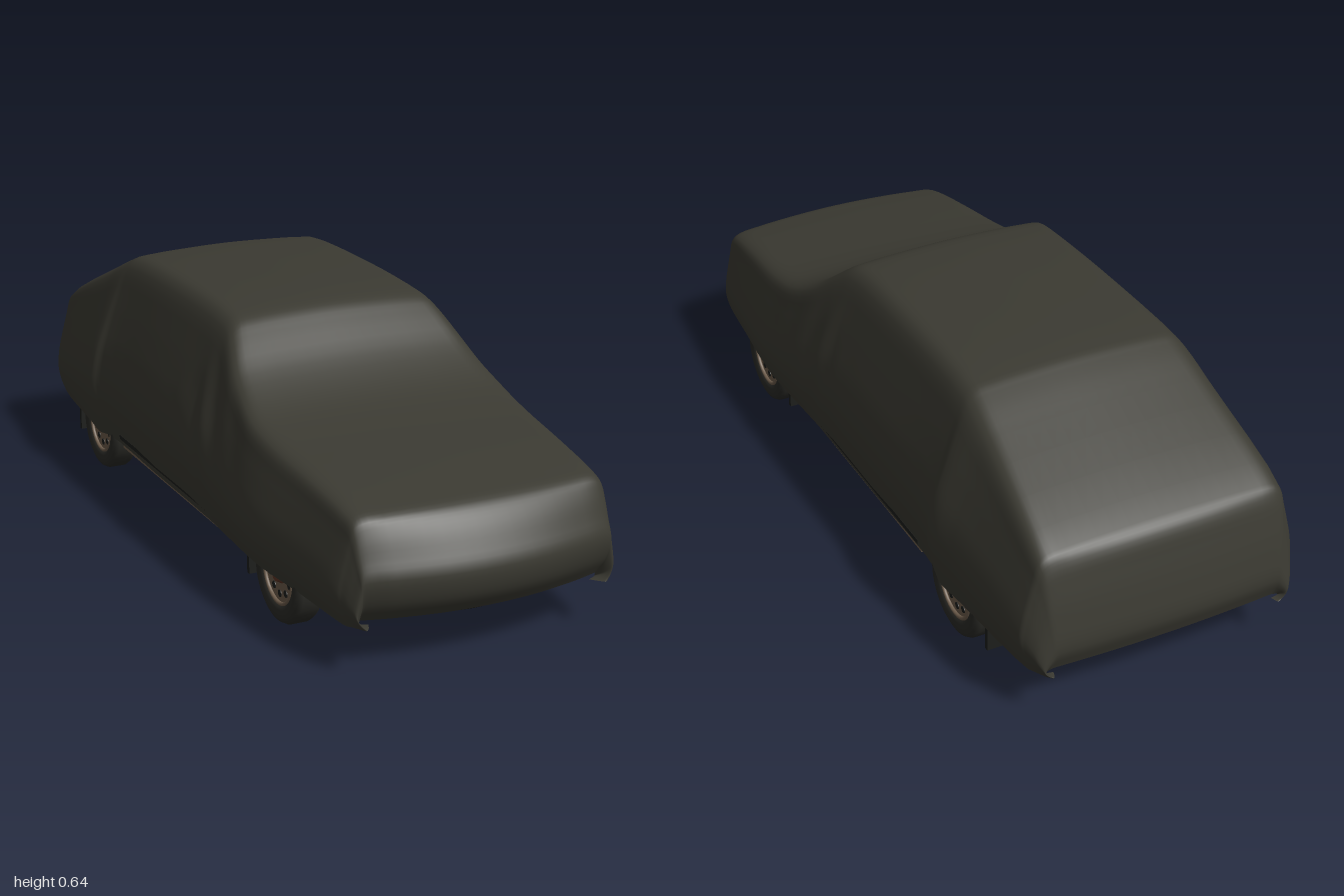
import * as THREE from 'three';

const mat = (name, color, side = THREE.FrontSide) => {
  const m = new THREE.MeshStandardMaterial({ color, side });
  m.name = name;
  return m;
};

export function createModel() {
  const car = new THREE.Group();
  car.name = 'coveredCar';
  const cloth = mat('coverCloth', 0x3b3a32, THREE.DoubleSide);
  const rubber = mat('tyreRubber', 0x2b2b27);
  const rim = mat('wheelTan', 0x6e5d4c);
  const rust = mat('exhaustRust', 0x5e3626);
  const black = mat('underbodyBlack', 0x1d1e1c);
  const steel = mat('chassisGrey', 0x30322f);

  const add = (name, geo, material, x = 0, y = 0, z = 0, parent = car) => {
    const m = new THREE.Mesh(geo, material);
    m.name = name;
    m.position.set(x, y, z);
    parent.add(m);
    return m;
  };
  const box = (name, w, h, d, material, x, y, z) =>
    add(name, new THREE.BoxGeometry(w, h, d), material, x, y, z);
  const tube = (name, pts, r, material) =>
    add(name, new THREE.TubeGeometry(new THREE.CatmullRomCurve3(
      pts.map(p => new THREE.Vector3(...p)), false, 'catmullrom', 0.2), 40, r, 8), material);

  // Cover stations: z, top height, belt half width, shoulder half width
  const stations = [
    [0.955, 0.125, 0.31, 0.31],
    [0.99, 0.175, 0.325, 0.315],
    [1.0, 0.235, 0.335, 0.32],
    [0.978, 0.285, 0.345, 0.32],
    [0.945, 0.338, 0.352, 0.32],
    [0.915, 0.365, 0.358, 0.32],
    [0.85, 0.38, 0.367, 0.322],
    [0.7, 0.405, 0.385, 0.33],
    [0.52, 0.43, 0.402, 0.34],
    [0.4, 0.46, 0.4, 0.342],
    [0.28, 0.52, 0.394, 0.325],
    [0.19, 0.59, 0.39, 0.3],
    [0.145, 0.622, 0.39, 0.285],
    [0.09, 0.634, 0.389, 0.28],
    [-0.15, 0.644, 0.389, 0.28],
    [-0.51, 0.633, 0.39, 0.285],
    [-0.55, 0.619, 0.404, 0.288],
    [-0.65, 0.573, 0.395, 0.295],
    [-0.93, 0.435, 0.366, 0.315],
    [-0.957, 0.408, 0.358, 0.31],
    [-0.974, 0.35, 0.348, 0.305],
    [-0.99, 0.275, 0.338, 0.3],
    [-1.0, 0.19, 0.325, 0.295],
    [-0.98, 0.132, 0.315, 0.295],
  ];
  // Section rule: belt-to-shoulder blend and height fraction, hem to shoulder
  const flank = [[0, 0.28], [0.13, 0.46], [0.37, 0.62], [0.64, 0.78], [0.91, 0.92]];
  const section = ([z, top, w, wt]) => {
    const hem = 0.12 - 0.01 * Math.exp(-(((z - 0.9) / 0.08) ** 2));
    // Nose and tail curve back towards their corners
    const bow = z < -0.94 ? -0.012 : 0.06 * THREE.MathUtils.smoothstep(z, 0.84, 0.99);
    const h = top - hem;
    const half = [[w * 0.935, hem], [w * 0.975, hem + h * 0.12]];
    flank.forEach(([k, f]) => half.push([w + (wt - w) * k, hem + h * f]));
    half.push([wt * 0.94, top - h * 0.03], [wt * 0.78, top - h * 0.016], [wt * 0.4, top - h * 0.005]);
    const pts = [...half, [0, top], ...half.slice().reverse().map(([x, y]) => [-x, y])];
    return new THREE.CatmullRomCurve3(pts.map(([x, y]) =>
      new THREE.Vector3(x, y, z - bow * (x / w) ** 2))).getPoints(60);
  };
  const rows = stations.map(section);
  const cols = rows[0].length, steps = (stations.length - 1) * 4;
  const pos = [], idx = [];
  for (let c = 0; c < cols; c++) {
    const along = new THREE.CatmullRomCurve3(rows.map(r => r[c]));
    for (const p of along.getPoints(steps)) {
      // Soft drape folds behind the windscreen
      const mask = Math.exp(-(((p.z - 0.17) / 0.16) ** 2)) * Math.exp(-(((p.y - 0.38) / 0.12) ** 2));
      p.x *= 1 + 0.011 * mask * Math.sin(48 * (p.z + 0.35 * p.y));
      pos.push(p.x, p.y, p.z);
    }
  }
  const n = steps + 1;
  for (let c = 0; c < cols - 1; c++) {
    for (let s = 0; s < steps; s++) {
      const a = c * n + s, b = a + n;
      idx.push(a, a + 1, b, b, a + 1, b + 1);
    }
  }
  const cover = new THREE.BufferGeometry();
  cover.setAttribute('position', new THREE.Float32BufferAttribute(pos, 3));
  cover.setIndex(idx);
  cover.computeVertexNormals();
  add('clothCover', cover, cloth);

  // Wheels
  const tyreHalf = [[0.076, 0.018], [0.078, 0.028], [0.09, 0.034], [0.108, 0.036], [0.119, 0.031], [0.125, 0.02]];
  const tyreProfile = [...tyreHalf.map(([r, y]) => [r, -y]), ...tyreHalf.slice().reverse()];
  const tyreGeo = new THREE.LatheGeometry(tyreProfile.map(p => new THREE.Vector2(...p)), 40);
  const rimGeo = new THREE.CylinderGeometry(0.08, 0.08, 0.044, 32);
  const lipGeo = new THREE.TorusGeometry(0.076, 0.005, 8, 32).rotateX(Math.PI / 2);
  const hubGeo = new THREE.CylinderGeometry(0.02, 0.028, 0.014, 16);
  const ventGeo = new THREE.CylinderGeometry(0.009, 0.009, 0.004, 10);
  for (const side of [1, -1]) {
    for (const z of [0.58, -0.6]) {
      const wheel = new THREE.Group();
      wheel.name = z > 0 ? 'frontWheel' : 'rearWheel';
      wheel.position.set(side * 0.33, 0.125, z);
      wheel.rotation.z = -side * Math.PI / 2;
      add('tyre', tyreGeo, rubber, 0, 0, 0, wheel);
      add('rim', rimGeo, rim, 0, 0, 0, wheel);
      add('rimLip', lipGeo, rim, 0, 0.027, 0, wheel);
      add('hubCap', hubGeo, rust, 0, 0.028, 0, wheel);
      for (let i = 0; i < 10; i++) {
        const a = i * Math.PI / 5;
        add('rimVent', ventGeo, black, 0.054 * Math.cos(a), 0.022, 0.054 * Math.sin(a), wheel);
      }
      car.add(wheel);
      // Mud flap behind each wheel
      box('mudFlap', 0.12, 0.08, 0.012, black, side * 0.3, 0.1, z - 0.165);
    }
    // Sills, chassis rails and floor panels
    box('sill', 0.02, 0.025, 0.8, rim, side * 0.35, 0.125, -0.02);
    box('chassisRail', 0.035, 0.02, 0.5, steel, side * 0.2, 0.125, 0.42);
    box('rearRail', 0.035, 0.02, 0.5, steel, side * 0.22, 0.135, -0.65);
    for (const z of [0.14, -0.22]) box('floorPanel', 0.16, 0.012, 0.28, steel, side * 0.17, 0.134, z);
    tube('frontArm', [[side * 0.12, 0.13, 0.66], [side * 0.29, 0.115, 0.58]], 0.011, steel);
    tube('trailingArm', [[side * 0.18, 0.13, -0.3], [side * 0.26, 0.115, -0.6]], 0.012, steel);
  }

  // Floor pan, narrowed between the wheels
  box('floorPan', 0.52, 0.012, 1.84, black, 0, 0.146, -0.02);
  box('middleFloor', 0.74, 0.012, 0.82, black, 0, 0.145, -0.01);
  box('frontFloor', 0.62, 0.012, 0.16, black, 0, 0.145, 0.82);
  box('rearFloor', 0.64, 0.012, 0.18, black, 0, 0.145, -0.86);

  // Front valance
  tube('frontValance', [-0.31, -0.18, 0, 0.18, 0.31].map(x =>
    [x, 0.097 + 0.13 * x * x, 0.875 - 0.6 * x * x]), 0.013, black);

  // Axles and cross members
  tube('rearAxle', [[-0.3, 0.125, -0.6], [0.3, 0.125, -0.6]], 0.018, steel);
  add('differential', new THREE.SphereGeometry(0.042, 16, 12), steel, 0, 0.13, -0.6);
  box('frontCrossMember', 0.46, 0.025, 0.06, steel, 0, 0.125, 0.62);
  box('gearboxMember', 0.48, 0.02, 0.04, steel, 0, 0.125, 0.3);
  box('rearCrossMember', 0.46, 0.02, 0.04, steel, 0, 0.13, -0.76);
  tube('antiRollBar', [[-0.27, 0.12, 0.58], [-0.22, 0.115, 0.74], [0.22, 0.115, 0.74],
    [0.27, 0.12, 0.58]], 0.008, steel);

  // Exhaust
  tube('exhaustPipe', [[0.12, 0.115, 0.68], [0, 0.105, 0.36], [0, 0.105, 0.1], [0, 0.11, -0.22],
    [0.12, 0.12, -0.42], [0.14, 0.15, -0.6], [0.17, 0.13, -0.74], [0.17, 0.13, -0.95]], 0.012, rust);
  box('middleSilencer', 0.09, 0.035, 0.18, rust, 0, 0.107, 0.115);
  const silencer = add('rearSilencer', new THREE.CylinderGeometry(0.036, 0.036, 0.2, 20).rotateX(Math.PI / 2),
    rust, 0.17, 0.135, -0.83);
  silencer.scale.x = 1.5;
  return car;
}
